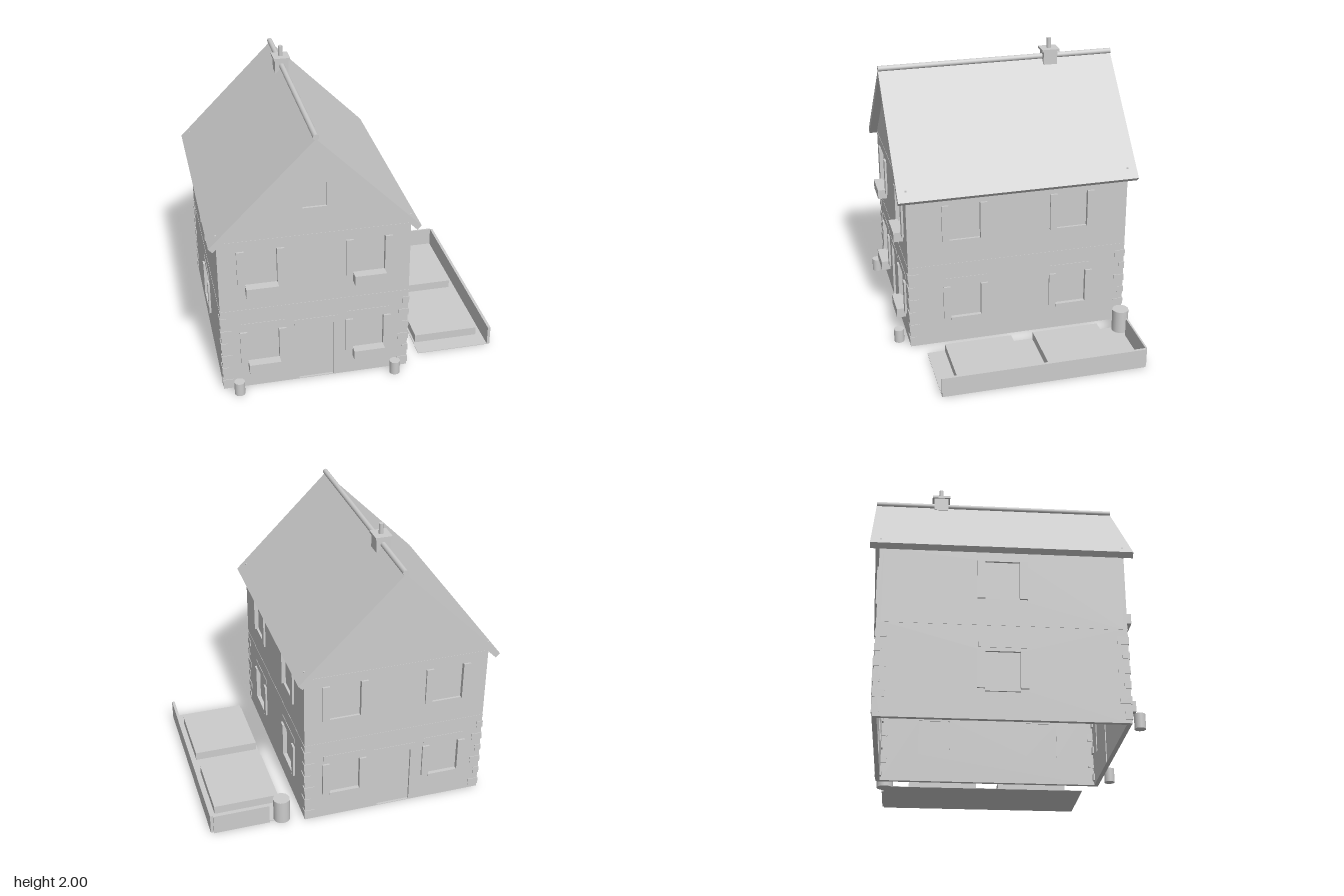
import * as THREE from 'three';

const stone = new THREE.MeshStandardMaterial({ color: 0xcccccc });
stone.name = 'plain grey';

const CX = -0.3, CZ = -0.0175;      // centre of the house
const W = 1.29, D = 1.577, T = 0.03; // width, depth, wall thickness
const FLOOR = 0.63, EAVE = 1.155;

function add(parent, name, geometry, x = 0, y = 0, z = 0) {
  const mesh = new THREE.Mesh(geometry, stone);
  mesh.name = name;
  mesh.position.set(x, y, z);
  parent.add(mesh);
  return mesh;
}

// Box given by its lower and upper limits
function box(parent, name, x0, x1, y0, y1, z0, z1) {
  return add(parent, name, new THREE.BoxGeometry(x1 - x0, y1 - y0, z1 - z0),
    (x0 + x1) / 2, (y0 + y1) / 2, (z0 + z1) / 2);
}

function cylinder(parent, name, r, y0, y1, x, z, sides = 16) {
  return add(parent, name, new THREE.CylinderGeometry(r, r, y1 - y0, sides), x, (y0 + y1) / 2, z);
}

// Wall plate with openings [u0, u1, y0, y1]; its outer face lies on local z = 0
function plate(parent, name, outline, openings) {
  const shape = new THREE.Shape(outline.map(([x, y]) => new THREE.Vector2(x, y)));
  for (const [a, b, c, d] of openings) {
    shape.holes.push(new THREE.Path([[a, c], [a, d], [b, d], [b, c]].map(([x, y]) => new THREE.Vector2(x, y))));
    box(parent, name + 'Pane', a, b, c, d, -0.024, -0.016);
  }
  add(parent, name, new THREE.ExtrudeGeometry(shape, { depth: T, bevelEnabled: false }), 0, 0, -T);
}

// One side of the house: two storeys with windows, shutters, sills and door
function facade(house, name, { length, distance, angle, centres, half, door, planters, gable }) {
  const side = new THREE.Group();
  side.name = name;
  side.rotation.y = angle;
  side.position.set(CX + Math.sin(angle) * distance, 0, CZ + Math.cos(angle) * distance);
  house.add(side);
  const h = length / 2;

  [[0, FLOOR, 0.2, 0.45], [FLOOR, EAVE, 0.81, 1.08]].forEach(([y0, y1, low, high], storey) => {
    const openings = centres.map(c => [c - half, c + half, low, high]);
    if (door && storey === 0) openings.push([-0.12, 0.12, 0.004, 0.44]);
    plate(side, storey ? 'upperWall' : 'lowerWall', [[-h, y0], [h, y0], [h, y1], [-h, y1]], openings);
    for (const c of centres) {
      for (const s of [-1, 1]) {
        const u = c + s * (half + 0.025);
        box(side, 'shutter', u - 0.025, u + 0.025, low, high, -0.005, 0.014);
      }
      if (planters) box(side, 'planterBox', c - half, c + half, low - 0.055, low + 0.015, 0, 0.066);
      else if (storey === 0) box(side, 'windowSill', c - half, c + half, low - 0.02, low, -0.01, 0.012);
      if (storey === 0) box(side, 'lintel', c - half - 0.04, c + half + 0.04, 0.475, 0.515, -0.01, 0.003);
    }
  });
  if (door) box(side, 'doorLintel', -0.15, 0.15, 0.455, 0.495, -0.01, 0.003);

  if (gable) plate(side, 'gable', [[-h, EAVE], [h, EAVE], [0, EAVE + h]], gable);
}

export function createModel() {
  const model = new THREE.Group();
  model.name = 'houseWithGarden';
  const house = new THREE.Group();
  house.name = 'house';
  model.add(house);

  // Four facades
  const wide = { length: W, distance: D / 2, centres: [-0.3625, 0.3625], half: 0.1075, door: true };
  facade(house, 'frontSide', { ...wide, angle: 0, planters: true, gable: [[-0.08, 0.08, 1.35, 1.52]] });
  facade(house, 'backSide', { ...wide, angle: Math.PI, gable: [] });
  const long = { length: D - 2 * T, distance: W / 2, half: 0.11 };
  facade(house, 'leftSide', { ...long, angle: Math.PI / 2, centres: [-0.385, 0.385] });
  facade(house, 'rightSide', { ...long, angle: -Math.PI / 2, centres: [0] });

  // Floor slabs, open below the ground floor
  const x0 = CX - W / 2, x1 = CX + W / 2, z0 = CZ - D / 2, z1 = CZ + D / 2;
  box(house, 'upperFloor', x0 + T, x1 - T, 0.59, FLOOR, z0 + T, z1 - T);
  box(house, 'floorBand', x0 - 0.002, x1 + 0.002, FLOOR - 0.005, FLOOR, z0 - 0.002, z1 + 0.002);
  box(house, 'atticFloor', x0 - 0.002, x1 + 0.002, EAVE - 0.006, EAVE, z0 - 0.002, z1 + 0.002);

  // Alternating corner stones on the ground floor, and post tips piercing the roof
  for (const sx of [-1, 1]) for (const sz of [-1, 1]) {
    const cx = CX + sx * W / 2, cz = CZ + sz * D / 2;
    for (let i = 0; i < 6; i++) {
      const a = i % 2 ? 0.045 : 0.075, b = i % 2 ? 0.075 : 0.045;
      add(house, 'cornerStone', new THREE.BoxGeometry(a, 0.05, b),
        cx - sx * (a / 2 - 0.005), 0.05 + i * 0.1, cz - sz * (b / 2 - 0.005));
    }
    add(house, 'postTip', new THREE.BoxGeometry(0.012, 0.08, 0.012), cx - sx * 0.004, 1.18, cz - sz * 0.006);
  }

  // Roof: two sloping slabs with a round ridge
  const roofLength = 1.695, roofZ = -0.868;
  for (const s of [-1, 1]) {
    const section = [[0, 1.8], [0, 1.857], [s * 0.7, 1.157], [s * 0.672, 1.128]];
    if (s > 0) section.reverse();
    const shape = new THREE.Shape(section.map(([x, y]) => new THREE.Vector2(x, y)));
    add(house, 'roofSlope', new THREE.ExtrudeGeometry(shape, { depth: roofLength, bevelEnabled: false }), CX, 0, roofZ);
  }
  const ridge = add(house, 'ridgeCap', new THREE.CylinderGeometry(0.019, 0.019, roofLength, 16),
    CX, 1.868, roofZ + roofLength / 2);
  ridge.rotation.x = Math.PI / 2;

  // Chimney
  box(house, 'chimney', CX - 0.048, CX + 0.048, 1.815, 1.912, -0.455, -0.355);
  box(house, 'chimneyCap', CX - 0.058, CX + 0.058, 1.91, 1.927, -0.468, -0.342);
  cylinder(house, 'chimneyPipe', 0.016, 1.92, 2, CX, -0.405);

  // Round pots at the front
  for (const x of [-0.845, 0.243]) cylinder(model, 'frontPot', 0.036, 0, 0.097, x, 0.838);

  // Garden with two raised beds, fence and barrel
  const garden = new THREE.Group();
  garden.name = 'garden';
  model.add(garden);
  box(garden, 'gardenBase', 0.463, 0.98, 0, 0.004, -0.753, 0.676);
  box(garden, 'backBed', 0.476, 0.936, 0.001, 0.065, -0.572, -0.09);
  box(garden, 'frontBed', 0.476, 0.936, 0.001, 0.065, 0.07, 0.55);
  box(garden, 'sideFence', 0.98, 1, 0, 0.143, -0.753, 0.676);
  box(garden, 'backFence', 0.587, 0.98, 0, 0.143, -0.765, -0.753);
  cylinder(garden, 'barrel', 0.058, 0, 0.173, 0.495, -0.743);

  return model;
}
